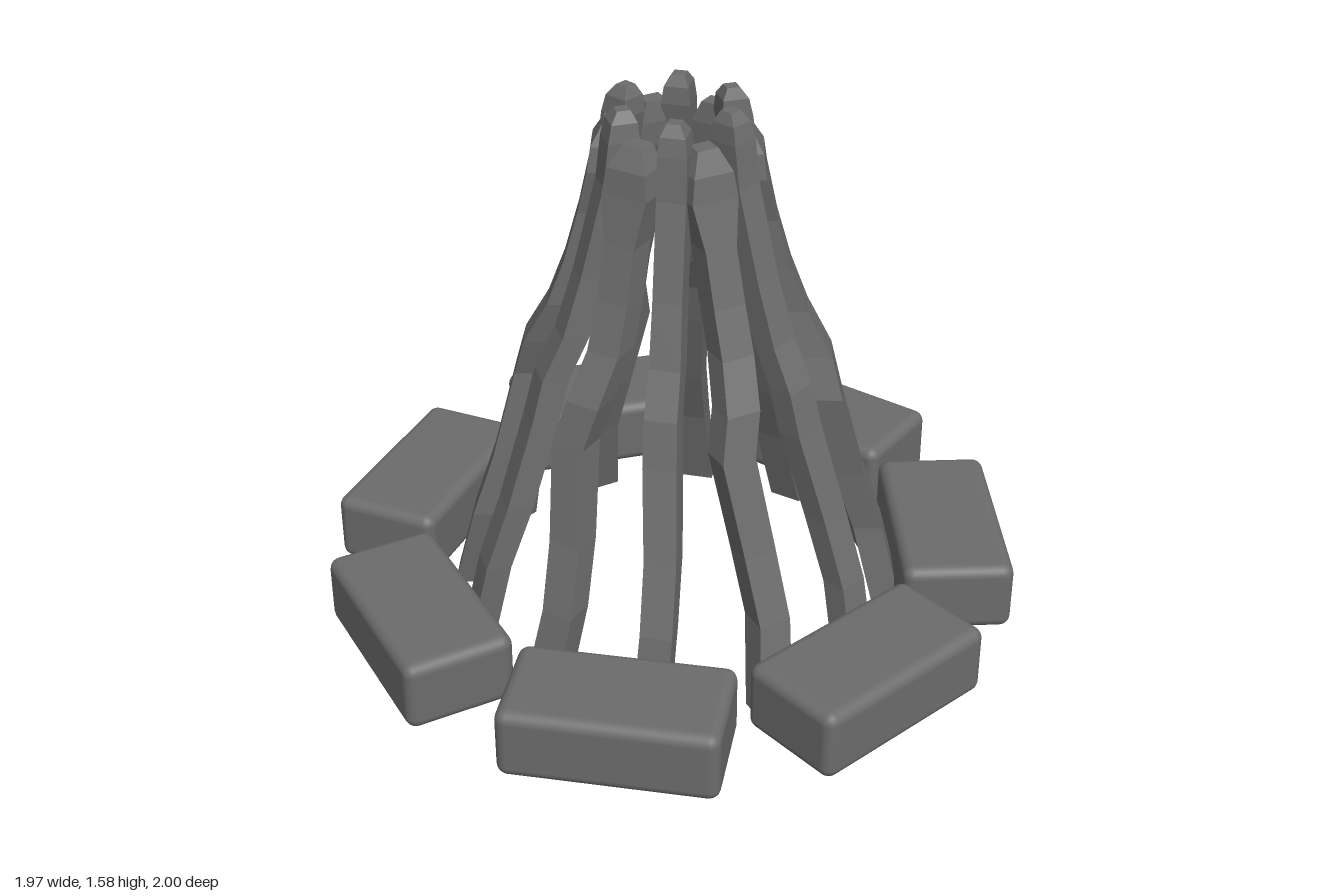
import * as THREE from 'three';
import { RoundedBoxGeometry } from 'three/addons/geometries/RoundedBoxGeometry.js';

// Four-sided crooked stick lofted through rings of [x, y, z, halfWidth, halfDepth].
function stickGeometry(rings, yaw) {
  const points = [];
  const index = [];
  const c = Math.cos(yaw), s = Math.sin(yaw);
  for (const [x, y, z, w, d] of rings) {
    for (const [u, v] of [[w, d], [w, -d], [-w, -d], [-w, d]]) {
      points.push(x + u * c + v * s, y, z - u * s + v * c);
    }
  }
  for (let r = 0; r < rings.length - 1; r++) {
    for (let i = 0; i < 4; i++) {
      const a = r * 4 + i, b = r * 4 + (i + 1) % 4;
      index.push(a, b, a + 4, b, b + 4, a + 4);
    }
  }
  const t = (rings.length - 1) * 4;
  index.push(0, 2, 1, 0, 3, 2, t, t + 1, t + 2, t, t + 2, t + 3);
  const geometry = new THREE.BufferGeometry();
  geometry.setAttribute('position', new THREE.Float32BufferAttribute(points, 3));
  geometry.setIndex(index);
  const flat = geometry.toNonIndexed();
  flat.computeVertexNormals();
  return flat;
}

export function createModel() {
  const group = new THREE.Group();
  group.name = 'campfire';
  const stone = new THREE.MeshStandardMaterial({ color: 0x6c6c6c });
  const wood = new THREE.MeshStandardMaterial({ color: 0x6c6c6c, flatShading: true, side: THREE.DoubleSide });

  // Ring of seven rounded stones
  const stoneGeometry = new RoundedBoxGeometry(0.6, 0.21, 0.32, 3, 0.033);
  for (let i = 0; i < 7; i++) {
    const angle = THREE.MathUtils.degToRad(9.8) + i * Math.PI * 2 / 7;
    const mesh = new THREE.Mesh(stoneGeometry, stone);
    mesh.name = 'stone';
    mesh.position.set(Math.sin(angle) * 0.805 - 0.015, 0.131, Math.cos(angle) * 0.805);
    mesh.rotation.y = angle;
    group.add(mesh);
  }

  // Thick sticks, swelling into a blunt rounded head
  const thick = stickGeometry([
    [-0.17, 0.0, 0.60, 0.05, 0.042],
    [-0.13, 0.26, 0.54, 0.047, 0.042],
    [-0.13, 0.45, 0.475, 0.048, 0.042],
    [-0.145, 0.72, 0.40, 0.05, 0.042],
    [-0.11, 0.84, 0.375, 0.05, 0.042],
    [-0.075, 0.97, 0.31, 0.048, 0.042],
    [-0.065, 1.1, 0.262, 0.047, 0.042],
    [-0.06, 1.25, 0.22, 0.046, 0.042],
    [-0.055, 1.38, 0.185, 0.068, 0.048],
    [-0.053, 1.45, 0.178, 0.058, 0.045],
    [-0.05, 1.51, 0.165, 0.03, 0.025],
  ], -0.2);

  // Thin sticks, with a narrow tip
  const thin = stickGeometry([
    [0.145, 0.0, 0.61, 0.047, 0.036],
    [0.148, 0.26, 0.55, 0.045, 0.036],
    [0.135, 0.45, 0.48, 0.045, 0.038],
    [0.105, 0.7, 0.40, 0.047, 0.038],
    [0.095, 0.83, 0.365, 0.045, 0.038],
    [0.085, 0.95, 0.305, 0.043, 0.038],
    [0.072, 1.12, 0.25, 0.04, 0.038],
    [0.058, 1.38, 0.18, 0.04, 0.04],
    [0.055, 1.5, 0.162, 0.04, 0.043],
    [0.053, 1.55, 0.158, 0.034, 0.036],
    [0.05, 1.58, 0.155, 0.018, 0.018],
  ], 0.12);

  // Six pairs of sticks leaning together
  for (let i = 0; i < 6; i++) {
    for (const [name, geometry] of [['thickStick', thick], ['thinStick', thin]]) {
      const mesh = new THREE.Mesh(geometry, wood);
      mesh.name = name;
      mesh.rotation.y = i * Math.PI / 3;
      group.add(mesh);
    }
  }
  return group;
}
